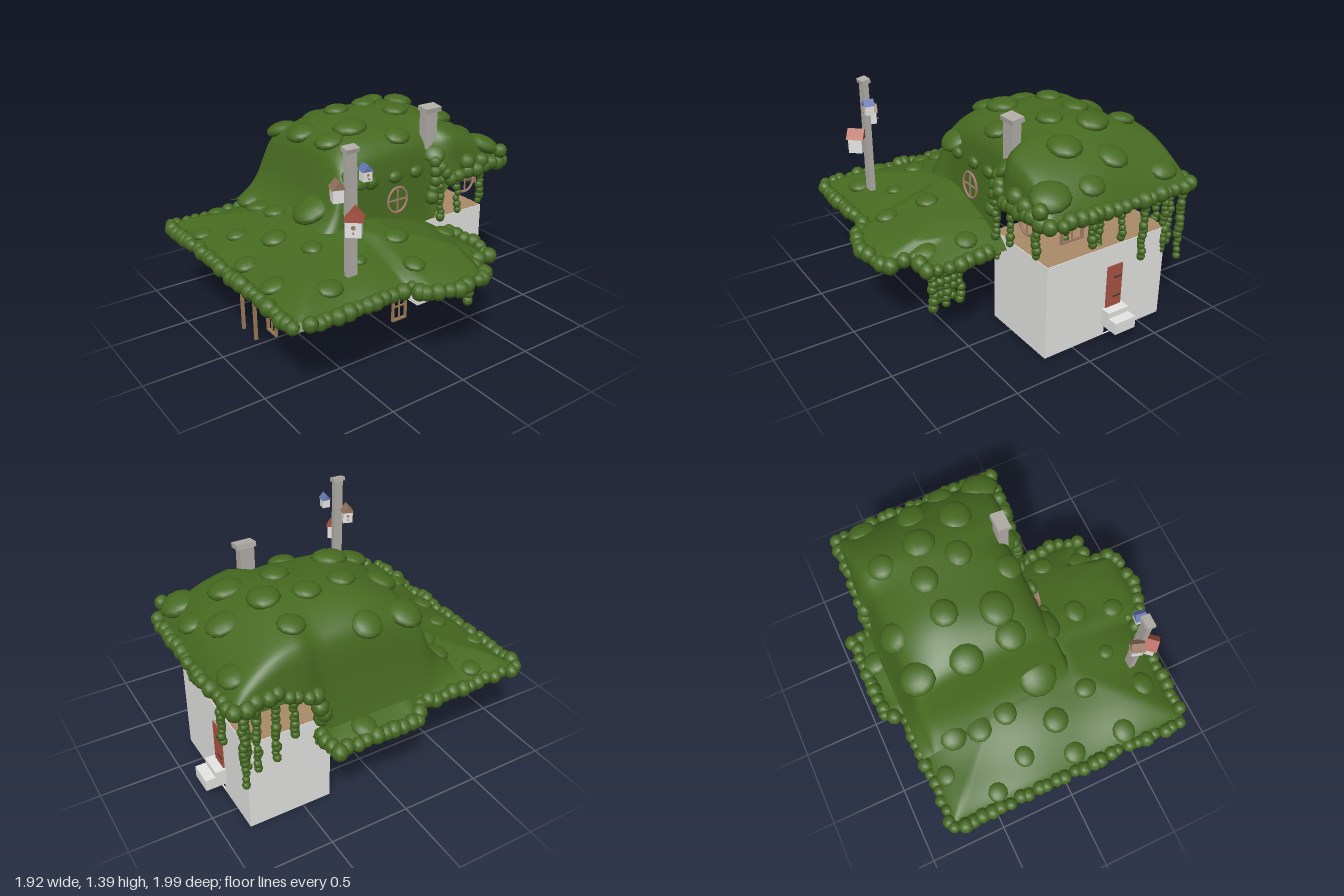
import * as THREE from 'three';

const mat = (name, color, side = THREE.DoubleSide) => {
  const m = new THREE.MeshStandardMaterial({ color, side });
  m.name = name;
  return m;
};

export function createModel() {
  const M = {
    leaf: mat('leaf green', 0x466a20), wall: mat('plaster', 0xe4e4e2), stone: mat('stone', 0xb2ada7),
    wood: mat('frame wood', 0x9c7c5a), floor: mat('floor tan', 0xa98a68), rose: mat('rose wood', 0xa5806e),
    red: mat('red paint', 0xaa5443), blue: mat('blue paint', 0x6676b2), brown: mat('brown roof', 0x92735c),
    dark: mat('dark iron', 0x4a3a30),
  };
  const root = new THREE.Group();
  root.name = 'overgrownCottage';
  const add = (name, geo, m, x = 0, y = 0, z = 0, parent = root) => {
    const mesh = new THREE.Mesh(geo, m);
    mesh.name = name;
    mesh.position.set(x, y, z);
    parent.add(mesh);
    return mesh;
  };
  // box from its min and max corners
  const box = (name, m, x0, x1, y0, y1, z0, z1, parent = root) =>
    add(name, new THREE.BoxGeometry(x1 - x0, y1 - y0, z1 - z0), m, (x0 + x1) / 2, (y0 + y1) / 2, (z0 + z1) / 2, parent);
  const group = (name, x, y, z, ry = 0) => {
    const g = new THREE.Group();
    g.name = name;
    g.position.set(x, y, z);
    g.rotation.y = ry;
    root.add(g);
    return g;
  };
  let seed = 7;
  const rnd = () => (seed = (seed * 16807) % 2147483647) / 2147483647;

  // ---- walls, floors, doorway
  const archPath = (P, x0, x1, y0, y1) => {
    const r = (x1 - x0) / 2;
    const p = new P();
    p.moveTo(x0, y0);
    p.lineTo(x1, y0);
    p.lineTo(x1, y1 - r);
    p.absarc((x0 + x1) / 2, y1 - r, r, 0, Math.PI, false);
    p.lineTo(x0, y0);
    return p;
  };
  // arch with open feet: two legs joined by a half ring
  const openArch = (x0, x1, y0, y1, t) => {
    const r = (x1 - x0) / 2, c = (x0 + x1) / 2, s = new THREE.Shape();
    s.moveTo(x0, y0);
    s.lineTo(x0 + t, y0);
    s.lineTo(x0 + t, y1 - r);
    s.absarc(c, y1 - r, r - t, Math.PI, 0, true);
    s.lineTo(x1 - t, y0);
    s.lineTo(x1, y0);
    s.lineTo(x1, y1 - r);
    s.absarc(c, y1 - r, r, 0, Math.PI, false);
    s.lineTo(x0, y0);
    return s;
  };
  const extrude = (s, d) => new THREE.ExtrudeGeometry(s, { depth: d, bevelEnabled: false, curveSegments: 10 });
  const wallShape = hole => {
    const s = new THREE.Shape([[-0.67, 0], [0.2, 0], [0.2, 0.6], [-0.67, 0.6]].map(p => new THREE.Vector2(...p)));
    s.holes.push(hole);
    return s;
  };
  add('frontWall', extrude(wallShape(archPath(THREE.Path, -0.32, -0.2, 0.001, 0.45)), 0.01), M.wall, 0, 0, -0.33);
  add('backWall', extrude(wallShape(archPath(THREE.Path, -0.335, -0.235, 0.001, 0.46)), 0.01), M.wall, 0, 0, -0.84);
  box('rightWall', M.wall, -0.67, -0.66, 0, 0.6, -0.84, -0.32);
  box('leftWall', M.wall, 0.19, 0.2, 0, 0.6, -0.84, -0.32);
  box('lowerFloor', M.floor, -0.66, 0.19, 0.19, 0.2, -0.83, -0.33);
  box('loftFloor', M.floor, -0.665, 0.195, 0.592, 0.602, -0.835, -0.325);
  box('threshold', M.wall, -0.32, -0.2, 0.15, 0.2, -0.32, -0.27);
  add('doorLining', extrude(openArch(-0.323, -0.197, 0.2, 0.453, 0.005), 0.045), M.wood, 0, 0, -0.32);
  box('backDoor', M.red, -0.345, -0.233, 0.19, 0.465, -0.848, -0.838);
  for (const y of [0.25, 0.38]) box('doorHinge', M.dark, -0.34, -0.28, y, y + 0.01, -0.852, -0.847);
  box('lowerStep', M.wall, -0.36, -0.21, 0.08, 0.155, -0.97, -0.84);
  box('upperStep', M.wall, -0.36, -0.21, 0.155, 0.19, -0.905, -0.84);

  // ---- arched and round frames
  const archFrame = (name, m, w, h, t, x, y, z, ry) => {
    const g = group(name, x, y, z, ry);
    const s = archPath(THREE.Shape, -w / 2, w / 2, 0, h);
    s.holes.push(archPath(THREE.Path, -w / 2 + t, w / 2 - t, t, h - t));
    add('frame', extrude(s, 0.016), m, 0, 0, -0.008, g);
    box('upright', m, -0.004, 0.004, 0, h - t / 2, -0.004, 0.004, g);
    box('crossbar', m, -w / 2 + t / 2, w / 2 - t / 2, h * 0.52, h * 0.52 + 0.008, -0.004, 0.004, g);
  };
  add('frontDoorFrame', extrude(openArch(0.028, 0.193, 0.17, 0.48, 0.017), 0.018), M.wood, 0, 0, 0.86);
  archFrame('frontWindow', M.wood, 0.1, 0.16, 0.012, 0.365, 0.3, 0.86, 0);
  archFrame('sideWindow', M.wood, 0.1, 0.165, 0.012, 0.645, 0.29, 0.19, Math.PI / 2);
  archFrame('backWindow', M.rose, 0.155, 0.16, 0.015, 0.05, 0.73, -0.85, 0);
  for (const [x, z] of [[0.235, -0.11], [0.22, -0.67]]) {
    const g = group('roundWindow', x, 0.82, z, Math.PI / 2);
    add('ring', new THREE.TorusGeometry(0.072, 0.008, 6, 28), M.rose, 0, 0, 0, g).scale.y = 1.12;
    box('upright', M.rose, -0.004, 0.004, -0.08, 0.08, -0.004, 0.004, g);
    box('crossbar', M.rose, -0.072, 0.072, -0.004, 0.004, -0.004, 0.004, g);
  }

  // ---- roof surfaces, built as lofts of nu x nv points
  const loft = (name, nu, nv, point, keep = () => true) => {
    const pos = [], idx = [];
    for (let j = 0; j <= nv; j++) for (let i = 0; i <= nu; i++) pos.push(...point(i / nu, j / nv));
    for (let j = 0; j < nv; j++) for (let i = 0; i < nu; i++) {
      const a = j * (nu + 1) + i, b = a + nu + 1;
      if (keep(pos[a * 3], pos[a * 3 + 2])) idx.push(a, b, a + 1, a + 1, b, b + 1);
    }
    const g = new THREE.BufferGeometry();
    g.setAttribute('position', new THREE.Float32BufferAttribute(pos, 3));
    g.setIndex(idx);
    g.computeVertexNormals();
    return add(name, g, M.leaf);
  };
  const smooth = THREE.MathUtils.smoothstep;
  const wobble = (x, z) => 0.008 * Math.sin(9 * x + 4 * z) + 0.006 * Math.sin(13 * z - 5 * x);

  const section = new THREE.SplineCurve([[0, 0], [0.02, 0.35], [0.045, 0.66], [0.11, 0.84], [0.32, 0.97], [0.58, 1],
    [0.8, 0.94], [0.93, 0.8], [0.97, 0.6], [0.985, 0.3], [1, 0]].map(p => new THREE.Vector2(...p)));
  const ridge = new THREE.SplineCurve([[-0.93, 0.92], [-0.86, 1.03], [-0.75, 1.13], [-0.6, 1.21], [-0.4, 1.25], [-0.1, 1.25],
    [0.1, 1.21], [0.23, 1.14], [0.29, 1.01], [0.34, 0.87], [0.4, 0.77], [0.5, 0.67]].map(p => new THREE.Vector2(...p)));
  const eave = z => 0.87 - 0.25 * smooth(z, -0.5, -0.4);
  const upper = loft('upperRoof', 48, 50, (u, v) => {
    const s = section.getPoint(u), r = ridge.getPoint(v), z = r.x;
    const back = 1 - smooth(z, -0.5, -0.4), front = smooth(z, 0.15, 0.4);
    const x0 = -0.745 - 0.02 * back, x1 = 0.215 + 0.06 * back + 0.04 * front;
    const e = eave(z), low = Math.pow(1 - Math.min(1, Math.max(0, s.y)), 3) * (1 - back);
    const flare = u < 0.5 ? -0.05 * low : (0.015 + 0.06 * front) * low;
    const x = x0 + (x1 - x0) * s.x + flare;
    return [x, e + (r.y - e) * s.y + wobble(x, z) * s.y, z];
  });

  const leftEdge = z => -0.9 + 0.1 * smooth(z, 0.13, 0.2);
  const rightEdge = z => 0.71 + 0.18 * smooth(z, -0.28, -0.23) - 0.12 * smooth(z, 0.16, 0.22);
  const lower = loft('lowerRoof', 56, 46, (u, v) => {
    const z = -0.45 + 1.39 * v, l = leftEdge(z), r = rightEdge(z);
    const x = l + (r - l) * u;
    const d = Math.min(x - l, r - x, z + 0.45, 0.94 - z);
    return [x, 0.53 + 0.2 * Math.pow(Math.min(1, Math.max(0, d) / 0.5), 0.65) + wobble(x, z), z];
  }, (x, z) => !(x > -0.7 && x < 0.17 && z < 0.33));

  // ---- leaf clumps pressed onto the roof
  const ball = new THREE.SphereGeometry(1, 12, 8), bead = new THREE.SphereGeometry(1, 9, 7);
  const up = new THREE.Vector3(0, 1, 0), ray = new THREE.Raycaster();
  const clump = (x, z, r) => {
    ray.set(new THREE.Vector3(x, 3, z), new THREE.Vector3(0, -1, 0));
    const hit = ray.intersectObjects([upper, lower])[0];
    if (!hit) return;
    const n = hit.face.normal.clone();
    if (n.y < 0) n.negate();
    n.lerp(up, 0.5).normalize();
    const c = add('leafClump', ball, M.leaf, x, hit.point.y, z);
    c.quaternion.setFromUnitVectors(up, n);
    c.scale.set(r, r * 0.45, r * (0.85 + 0.3 * rnd()));
  };
  [[-0.58, -0.86, 0.09], [-0.28, -0.76, 0.09], [-0.06, -0.86, 0.08], [0.19, -0.83, 0.12], [-0.05, -0.63, 0.1],
    [-0.57, -0.5, 0.08], [-0.32, -0.53, 0.1], [-0.14, -0.37, 0.08], [-0.38, -0.3, 0.08], [-0.67, -0.1, 0.09],
    [-0.36, -0.07, 0.08], [0.1, -0.2, 0.08], [-0.08, 0.02, 0.1], [-0.64, 0.17, 0.11], [-0.35, 0.2, 0.1],
    [-0.07, 0.18, 0.09], [0.18, 0.16, 0.09], [0.19, -0.42, 0.08], [0.02, 0.37, 0.12]].forEach(p => clump(...p));
  [[-0.58, 0.47, 0.08], [-0.42, 0.48, 0.08], [-0.24, 0.47, 0.07], [0.27, 0.53, 0.07], [0.02, 0.63, 0.08],
    [-0.24, 0.74, 0.06], [-0.71, 0.64, 0.06], [-0.47, 0.86, 0.06], [0.05, 0.84, 0.07], [0.38, 0.85, 0.07], [0.62, 0.64, 0.07],
    [0.41, -0.34, 0.07], [0.65, -0.28, 0.08], [0.44, 0.06, 0.07], [0.5, 0.37, 0.05], [0.68, 0.12, 0.07], [-0.83, -0.2, 0.08],
  ].forEach(p => clump(...p));
  for (const z of [0.07, -0.11, -0.27]) add('wallClump', bead, M.leaf, 0.21, 0.96, z).scale.set(0.03, 0.04, 0.05);

  // ---- bead strings along eaves and hanging vines
  const beads = (name, pts, r, gap) => {
    const v = pts.map(p => new THREE.Vector3(...p));
    for (let k = 0; k + 1 < v.length; k++) {
      const n = Math.max(1, Math.round(v[k].distanceTo(v[k + 1]) / gap));
      for (let i = 0; i < n; i++) {
        const p = v[k].clone().lerp(v[k + 1], i / n), s = r * (0.85 + 0.35 * rnd());
        add(name, bead, M.leaf, p.x + (rnd() - 0.5) * r * 0.5, p.y + (rnd() - 0.5) * r * 0.4, p.z + (rnd() - 0.5) * r * 0.5)
          .scale.set(s, s * 1.05, s);
      }
    }
  };
  const E = 0.545;
  beads('eaveLeaves', [[-0.74, E, -0.42], [-0.9, E, -0.4], [-0.9, E, 0.13], [-0.79, E, 0.2], [-0.79, E, 0.94], [0.74, E, 0.94],
    [0.77, E, 0.87], [0.77, E, 0.2], [0.86, E, 0.17], [0.91, E, 0.05], [0.91, E, -0.16], [0.85, E, -0.25], [0.71, E, -0.27],
    [0.71, E, -0.42], [0.6, E, -0.47], [0.27, E, -0.45]], 0.043, 0.062);
  beads('upperEaveLeaves', [[-0.75, 0.66, -0.41], [-0.76, 0.83, -0.45], [-0.75, 0.93, -0.68], [-0.74, 0.9, -0.92], [-0.3, 0.9, -0.95],
    [0.26, 0.91, -0.94], [0.3, 0.93, -0.82], [0.27, 0.88, -0.5], [0.24, 1.0, -0.4], [0.25, 0.72, -0.37]], 0.043, 0.062);
  beads('sideLeaves', [[0.29, 0.99, -0.88], [0.28, 0.95, -0.74], [0.27, 0.96, -0.5]], 0.045, 0.12);
  const vine = (x, z, y, len, r = 0.025) => beads('vine', [[x, y, z], [x, y - len, z]], r, r * 1.45);
  [[-0.74, 0.5], [-0.66, 0.46], [-0.55, 0.36], [-0.45, 0.42], [-0.33, 0.28], [-0.2, 0.32], [-0.07, 0.22], [0.08, 0.16], [0.24, 0.24]]
    .forEach(([x, l], i) => vine(x, -0.88 + 0.05 * (i % 3), 0.87, l));
  [[-0.8, 0.42], [-0.69, 0.4], [-0.58, 0.28]].forEach(([z, l]) => vine(-0.73, z, 0.86, l));
  [[-0.57, 0.26], [-0.43, 0.28]].forEach(([z, l]) => vine(0.26, z, 0.88, l));
  for (let i = 0; i < 5; i++) vine(0.465 + i * 0.043, -0.35 + 0.012 * (i % 2), 0.52, 0.32 - 0.03 * (i % 2), 0.029);
  vine(-0.67, -0.4, 0.52, 0.1, 0.018);
  vine(0.23, -0.4, 0.52, 0.08, 0.016);

  // ---- chimney
  box('chimney', M.stone, 0.115, 0.175, 1.0, 1.31, -0.455, -0.365);
  box('chimneyCap', M.stone, 0.107, 0.187, 1.305, 1.335, -0.475, -0.355).rotation.z = -0.15;

  // ---- pole with three birdhouses
  box('pole', M.stone, 0.585, 0.62, 0.65, 1.36, 0.463, 0.525);
  box('poleCap', M.stone, 0.575, 0.63, 1.355, 1.38, 0.453, 0.535).rotation.z = -0.2;
  const birdhouse = (roof, x, y, z, w, h, ry) => {
    const g = group('birdhouse', x, y, z, ry), e = w * 0.62;
    add('body', new THREE.BoxGeometry(w, h, w), M.wall, 0, h / 2, 0, g);
    const s = new THREE.Shape([[-e, -0.005], [e, -0.005], [0, e]].map(p => new THREE.Vector2(...p)));
    add('gableRoof', extrude(s, w * 1.25), roof, 0, h, -w * 0.625, g);
    add('entrance', new THREE.CylinderGeometry(w * 0.14, w * 0.14, 0.006, 12), M.wood, 0, h * 0.6, w / 2, g).rotation.x = Math.PI / 2;
    add('perch', new THREE.CylinderGeometry(0.004, 0.004, 0.02, 6), M.wood, 0, h * 0.3, w / 2 + 0.008, g).rotation.x = Math.PI / 2;
  };
  birdhouse(M.red, 0.665, 0.92, 0.515, 0.085, 0.095, 0.85);
  birdhouse(M.brown, 0.55, 1.075, 0.54, 0.065, 0.08, -1.9);
  birdhouse(M.blue, 0.62, 1.185, 0.41, 0.052, 0.06, 1.45);
  return root;
}
